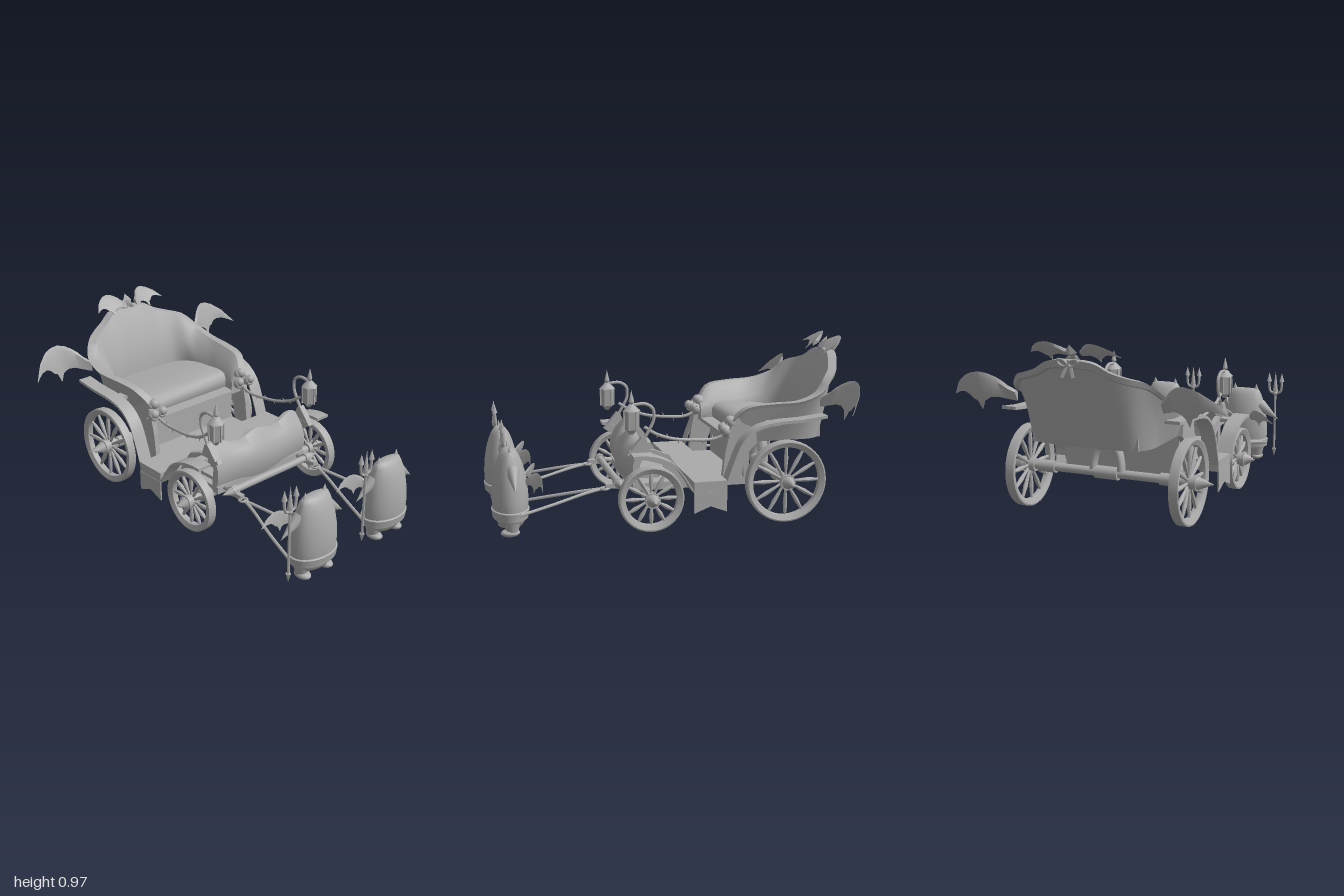
import * as THREE from 'three';
import { toCreasedNormals } from 'three/addons/utils/BufferGeometryUtils.js';

const V = (x, y, z) => new THREE.Vector3(x, y, z);
const grey = new THREE.MeshStandardMaterial({ color: 0xaaaaaa, side: THREE.DoubleSide });
grey.name = 'plain grey';
const SIDES = [-1, 1];

function add(parent, name, geo, pos = [0, 0, 0], rot = [0, 0, 0], scale = [1, 1, 1]) {
  const m = new THREE.Mesh(geo, grey);
  m.name = name;
  m.position.set(...pos);
  m.rotation.set(...rot);
  m.scale.set(...scale);
  parent.add(m);
  return m;
}
function group(parent, name) {
  const g = new THREE.Group();
  g.name = name;
  parent.add(g);
  return g;
}
const shape = pts => new THREE.Shape(pts.map(p => new THREE.Vector2(p[0], p[1])));
const plate = (pts, depth) => new THREE.ExtrudeGeometry(shape(pts), { depth, bevelEnabled: false }).translate(0, 0, -depth / 2);
// outline given as [z, y], extruded along x
const sidePlate = (pts, width) => plate(pts, width).rotateY(-Math.PI / 2);
const tube = (pts, r, n = 20) => new THREE.TubeGeometry(new THREE.CatmullRomCurve3(pts.map(p => V(...p))), n, r, 8);
const lathe = (pts, n = 24) => toCreasedNormals(new THREE.LatheGeometry(pts.map(p => new THREE.Vector2(...p)), n), 0.7);
const box = (x, y, z) => new THREE.BoxGeometry(x, y, z);
const ball = r => new THREE.SphereGeometry(r, 16, 12);
const cyl = (a, b, h, n = 16) => new THREE.CylinderGeometry(a, b, h, n);

// closed cross-sections joined in order, with both ends capped
function loft(rows) {
  const mid = r => r.reduce((s, p) => s.add(p), V(0, 0, 0)).divideScalar(r.length);
  const cap = r => { const c = mid(r); return r.map(() => c); };
  const all = [cap(rows[0]), ...rows, cap(rows[rows.length - 1])];
  const n = rows[0].length, idx = [];
  for (let i = 0; i < all.length - 1; i++) for (let j = 0; j < n; j++) {
    const a = i * n + j, b = i * n + (j + 1) % n;
    idx.push(a, a + n, b, b, a + n, b + n);
  }
  const g = new THREE.BufferGeometry().setFromPoints(all.flat());
  g.setIndex(idx);
  return toCreasedNormals(g, 0.7);
}
// oval rings given as [y, x radius, z radius]
function ovals(list, n = 32) {
  return loft(list.map(([y, rx, rz]) => Array.from({ length: n }, (_, i) => {
    const a = i / n * Math.PI * 2;
    return V(rx * Math.cos(a), y, rz * Math.sin(a));
  })));
}
// strip following a [z, y] path
function fender(path, width) {
  const c = new THREE.CatmullRomCurve3(path.map(([z, y]) => V(0, y, z)));
  return loft(c.getPoints(24).map(p => [[-1, 0], [1, 0], [1, 1], [-1, 1]].map(([a, b]) => V(a * width / 2, p.y + b * 0.016, p.z))));
}
// height of an [x, y] line at x
function heightAt(line, x) {
  const i = Math.max(1, line.findIndex(p => p[0] >= x));
  const [a, b] = [line[i - 1], line[i]];
  return a[1] + (b[1] - a[1]) * (x - a[0]) / (b[0] - a[0]);
}
// bat wing: root at the origin, tip towards +x, scalloped lower edge
function wing(bend) {
  const upper = [[0, 0], [.03, .025], [.05, .05], [.075, .072], [.11, .092], [.15, .101], [.19, .094], [.23, .078], [.29, .034], [.35, -.043]];
  const lower = [[0, -.06], [.04, -.048], [.08, -.035], [.115, -.038], [.145, -.058], [.165, -.103], [.182, -.056], [.205, -.046], [.222, -.026], [.25, -.014], [.29, -.018], [.35, -.044]];
  const rows = [];
  for (let i = 0; i <= 70; i++) {
    const x = i / 200, u = heightAt(upper, x), l = heightAt(lower, x), t = .014 * (1.1 - x * 3);
    const z = y => -bend * Math.sin(x * 8) + (.1 - y) * .3;
    const m = l + (u - l) * .8;
    rows.push([V(x, u, z(u)), V(x, m, z(m) + t), V(x, l, z(l) + .002), V(x, l, z(l) - .002), V(x, m, z(m) - t)]);
  }
  return loft(rows);
}

function wheel(parent, name, x, y, z, r, spike) {
  const g = group(parent, name), s = Math.sign(x);
  g.position.set(x, y, z);
  const w = .027;
  add(g, 'rim', lathe([[r - .036, -w * .6], [r - .01, -w], [r - .002, -w * .9], [r, 0], [r - .002, w * .9], [r - .01, w], [r - .036, w * .6], [r - .04, 0], [r - .036, -w * .6]], 48), [0, 0, 0], [0, 0, Math.PI / 2]);
  const spoke = lathe([[.007, .02], [.008, .06], [.013, r * .55], [.007, r - .03]], 8);
  for (let i = 0; i < 12; i++) add(g, 'spoke', spoke, [0, 0, 0], [i * Math.PI / 6, 0, 0]);
  add(g, 'hub', cyl(.036, .036, .07), [0, 0, 0], [0, 0, Math.PI / 2]);
  add(g, 'hubCollar', cyl(.042, .042, .014), [s * .038, 0, 0], [0, 0, Math.PI / 2]);
  add(g, 'hubSpike', new THREE.ConeGeometry(.036, spike, 8), [s * (.045 + spike / 2), 0, 0], [0, 0, -s * Math.PI / 2]);
}

function imp(parent, x) {
  const g = group(parent, 'imp');
  g.position.set(x, 0, .897);
  add(g, 'body', ovals([[.045, .06, .04], [.055, .105, .065], [.09, .131, .085], [.14, .141, .093], [.2, .142, .096], [.27, .137, .091], [.33, .127, .081], [.38, .114, .067], [.42, .101, .051], [.445, .088, .033], [.453, .07, .018]]));
  add(g, 'belt', ovals([[.09, .132, .086], [.092, .143, .093], [.136, .149, .1], [.141, .141, .094]]));
  for (const s of SIDES) {
    add(g, 'ear', new THREE.ConeGeometry(.042, .1, 16), [s * .068, .434, 0], [0, 0, -s * .05], [1, 1, .6]);
    add(g, 'leg', cyl(.045, .03, .06), [s * .08, .05, 0]);
    add(g, 'foot', ball(.036), [s * .08, .022, .01], [0, 0, 0], [1, .6, 1.4]);
    add(g, 'arm', new THREE.ConeGeometry(.043, .15, 16), [s * .16, .31, -.01], [0, 0, -s * 2.15], [1, 1, .8]);
    add(g, 'backWing', wing(.04), [s * .04, .29, -.085], [0, s * .4, 0], [s * .55, .5, .5]);
  }
  // trident in the right hand
  const t = group(g, 'trident');
  t.position.set(-.189, 0, .015);
  add(t, 'shaft', cyl(.007, .007, .44, 8), [0, .27, 0]);
  add(t, 'buttSpike', new THREE.ConeGeometry(.014, .05, 8), [0, .052, 0], [Math.PI, 0, 0]);
  add(t, 'collar', ball(.015), [0, .43, 0]);
  add(t, 'centreProng', new THREE.ConeGeometry(.017, .13, 6), [0, .505, 0]);
  for (const s of SIDES) {
    add(t, 'sideProng', tube([[0, .43, 0], [s * .03, .44, 0], [s * .04, .48, 0], [s * .038, .52, 0]], .008));
    add(t, 'prongTip', new THREE.ConeGeometry(.016, .055, 6), [s * .04, .533, 0]);
  }
}

function cabin(root) {
  const g = group(root, 'cabin');
  // rim and base lines from the middle of the back to the left arm front
  const top = [[0, .88, -.97], [.12, .87, -.96], [.2, .825, -.935], [.28, .797, -.9], [.35, .772, -.85], [.41, .705, -.78], [.43, .66, -.66], [.42, .65, -.5], [.4, .63, -.36], [.36, .56, -.29]];
  const base = [[0, .43, -.84], [.1, .43, -.838], [.2, .43, -.832], [.28, .43, -.81], [.325, .43, -.75], [.335, .43, -.65], [.335, .43, -.52], [.335, .43, -.4], [.335, .43, -.34], [.335, .43, -.29]];
  const full = h => [...h.slice(1).reverse().map(p => V(-p[0], p[1], p[2])), ...h.map(p => V(...p))];
  const T = new THREE.CatmullRomCurve3(full(top)), B = new THREE.CatmullRomCurve3(full(base));
  const rows = [];
  for (let i = 0; i <= 64; i++) {
    const t = T.getPoint(i / 64), b = B.getPoint(i / 64);
    const n = V(-t.x, 0, (-.5 - t.z) * (t.z < -.5 ? 1 : 0)).normalize();
    const at = (k, inward) => b.clone().lerp(t, k).addScaledVector(n, inward);
    rows.push([at(0, 0), at(.5, .005), at(.9, .012), at(.92, -.008), at(1, -.008), at(1, .04), at(.92, .05), at(.82, .06), at(.55, .085), at(.25, .08), at(0, .055)]);
  }
  add(g, 'tubWall', loft(rows));
  add(g, 'tubBottom', plate(B.getPoints(32).map(p => [p.x, -p.z]), .02).rotateX(-Math.PI / 2), [0, .44, 0]);
  add(g, 'seatCushion', toCreasedNormals(sidePlate([[-.82, .43], [-.82, .5], [-.6, .53], [-.44, .54], [-.385, .53], [-.362, .505], [-.358, .47], [-.375, .43]], .58), .7));
  add(g, 'seatRiser', box(.66, .25, .03), [0, .325, -.38]);
  for (const s of SIDES) {
    add(g, 'cornerPanel', sidePlate([[-.235, .235], [-.25, .38], [-.28, .52], [-.31, .58], [-.42, .5], [-.43, .43], [-.36, .36], [-.34, .22]], .03), [s * .35, 0, 0]);
    add(g, 'sideWing', wing(.085), [s * .4, .68, -.82], [0, 0, 0], [s, 1, 1]);
    add(g, 'crestWing', wing(.02), [s * .035, .912, -.945], [-.45, 0, 0], [s * .59, .68, .8]);
    add(g, 'bowLoop', new THREE.TorusGeometry(.02, .007, 8, 16), [s * .028, .87, -.985], [0, 0, s * .4], [1.3, .7, 1]);
    add(g, 'bowTail', box(.014, .07, .006), [s * .018, .83, -.978], [.3, 0, s * .35]);
  }
  add(g, 'crestGem', new THREE.OctahedronGeometry(.045), [0, .915, -.945], [-.5, 0, 0], [.7, 1, .4]);
  for (const a of [-1, -.4, .4, 1]) add(g, 'crestLeaf', new THREE.ConeGeometry(.012, .06, 4), [Math.sin(a) * .045, .875, -.93], [0, 0, Math.PI + a]);
}

function frontAndFloor(root) {
  const g = group(root, 'frontBody');
  add(g, 'floor', box(.66, .04, .64), [0, .215, -.07]);
  // curled dashboard with a wavy top
  const rows = [];
  for (let i = 0; i <= 32; i++) {
    const x = -.33 + .66 * i / 32, u = Math.abs(x) / .33, h = .45 + .018 * Math.cos(u * 7.5);
    const front = [[.2, .235], [.27, .262], [.34, .26], [.4, .235], [h, .185]];
    const z0 = .012 * Math.cos(u * 3);
    rows.push([...front.map(([y, z]) => V(x, y, z + z0)), ...front.reverse().map(([y, z]) => V(x, y, z - .022 + z0))]);
  }
  add(g, 'dashboard', loft(rows));
  add(g, 'footLedge', box(.64, .02, .12), [0, .27, .16]);
  add(g, 'step', box(.98, .06, .18), [0, .235, -.135]);
  for (const s of SIDES) {
    add(g, 'sidePanel', sidePlate([[.285, .4], [.27, .42], [.14, .42], [.06, .39], [.005, .31], [-.035, .235], [-.02, .2], [.02, .22], [.05, .28], [.1, .34], [.18, .365], [.24, .37]], .03), [s * .345, 0, 0]);
    add(g, 'frontFender', fender([[.28, .405], [.22, .405], [.14, .39], [.06, .35], [.01, .29], [-.04, .21]], .085), [s * .45, 0, 0]);
    add(g, 'frontFenderBracket', box(.1, .02, .05), [s * .385, .4, .18]);
    add(g, 'rearFender', fender([[-.22, .225], [-.26, .34], [-.31, .45], [-.39, .52], [-.5, .548], [-.64, .556], [-.78, .572]], .08), [s * .45, 0, 0]);
    add(g, 'rearFenderBracket', box(.12, .02, .06), [s * .39, .545, -.5]);
    add(g, 'banner', sidePlate([[-.045, .21], [-.045, .095], [-.135, .13], [-.225, .095], [-.225, .21]], .008), [s * .488, 0, 0]);
  }
}

function lampAndVine(root, s) {
  const g = group(root, 'lamp');
  g.position.set(s * .35, 0, 0);
  add(g, 'lampFoot', sidePlate([[.27, .415], [.25, .44], [.205, .495], [.185, .485], [.16, .415]], .035));
  add(g, 'lampArm', tube([[0, .47, .2], [0, .53, .165], [0, .58, .142], [0, .64, .145], [0, .668, .185], [0, .665, .255]], .009, 28));
  add(g, 'lampBody', toCreasedNormals(cyl(.04, .034, .1, 6), .3), [0, .585, .26]);
  add(g, 'lampBase', cyl(.03, .012, .025, 6), [0, .522, .26]);
  add(g, 'lampRoof', cyl(.014, .047, .035, 6), [0, .652, .26]);
  for (let i = 0; i < 6; i++) add(g, 'lampBar', box(.008, .1, .008), [.039 * Math.sin(i * Math.PI / 3), .585, .26 + .039 * Math.cos(i * Math.PI / 3)]);
  add(g, 'lampKnob', ball(.014), [0, .683, .26]);
  add(g, 'lampSpike', new THREE.ConeGeometry(.015, .06, 8), [0, .715, .26]);
  // thorny vine hanging to the flowers
  const v = group(root, 'vine');
  const pts = [[s * .35, .545, .19], [s * .345, .505, .13], [s * .335, .47, .03], [s * .325, .455, -.1], [s * .32, .455, -.2], [s * .325, .48, -.27]];
  add(v, 'stem', tube(pts, .009, 32));
  const c = new THREE.CatmullRomCurve3(pts.map(p => V(...p)));
  for (let i = 1; i < 9; i++) {
    const p = c.getPoint(i / 9);
    add(v, 'thorn', new THREE.ConeGeometry(.006, .025, 6), [p.x, p.y + (i % 2 ? .014 : -.014), p.z], [0, 0, i % 2 ? .3 : Math.PI - .3]);
  }
  for (const [dx, y, z, r] of [[0, .54, -.295, .038], [.035, .505, -.25, .034], [-.035, .5, -.265, .034]]) {
    const f = group(v, 'rose');
    f.position.set(s * (.33 + dx), y, z);
    add(f, 'roseHeart', ball(r * .75), [0, r * .3, r * .3]);
    for (let i = 0; i < 6; i++) {
      const a = i * Math.PI / 3;
      add(f, 'petal', ball(r * .62), [Math.cos(a) * r * .6, Math.sin(a) * r * .6, 0], [0, 0, a], [.6, 1, 1]);
    }
  }
  for (let i = 0; i < 6; i++) {
    const a = i * Math.PI / 3 + .3;
    add(v, 'leaf', new THREE.ConeGeometry(.022, .05, 4), [s * .33 + Math.cos(a) * .055, .505 + Math.sin(a) * .035, -.265], [0, 0, a - Math.PI / 2], [1, 1, .35]);
  }
}

function runningGear(root) {
  const g = group(root, 'runningGear');
  const across = [0, 0, Math.PI / 2];
  for (const [name, y, z] of [['rearAxle', .233, -.563], ['frontAxle', .183, .18]]) {
    add(g, name, cyl(.023, .023, .9), [0, y, z], across);
    add(g, name + 'Block', cyl(.034, .034, .13), [0, y, z], across);
    for (const s of SIDES) add(g, name + 'Sleeve', cyl(.032, .032, .1), [s * .35, y, z], across);
  }
  add(g, 'axleArch', new THREE.TorusGeometry(.08, .02, 8, 24, Math.PI), [0, .25, -.563], [0, 0, 0], [1, 2, 1.5]);
  add(g, 'crossbar', cyl(.02, .02, .6), [0, .232, .32], across);
  for (const s of SIDES) {
    wheel(g, 'rearWheel', s * .455, .233, -.563, .224, .09);
    wheel(g, 'frontWheel', s * .46, .183, .18, .175, .06);
    add(g, 'crossbarSpike', new THREE.ConeGeometry(.026, .06, 8), [s * .33, .232, .32], [0, 0, -s * Math.PI / 2]);
    add(g, 'crossbarCollar', cyl(.028, .028, .04), [s * .28, .232, .32], across);
    add(g, 'drawArm', tube([[s * .28, .19, .18], [s * .28, .22, .25], [s * .28, .232, .32]], .014));
    // harness
    add(g, 'hook', box(.03, .025, .07), [s * .28, .218, .355]);
    add(g, 'harnessRing', new THREE.TorusGeometry(.022, .007, 8, 20), [s * .28, .205, .395], [Math.PI / 2, 0, 0]);
    for (const k of SIDES) add(g, 'strap', tube([[s * .28, .205, .405], [s * .28 + k * .025, .192, .5], [s * .28 + k * .08, .16, .67], [s * .277 + k * .135, .122, .87]], .009));
    imp(root, s > 0 ? .282 : -.268);
    lampAndVine(root, s);
  }
}

export function createModel() {
  const root = new THREE.Group();
  root.name = 'carriage';
  cabin(root);
  frontAndFloor(root);
  runningGear(root);
  return root;
}
